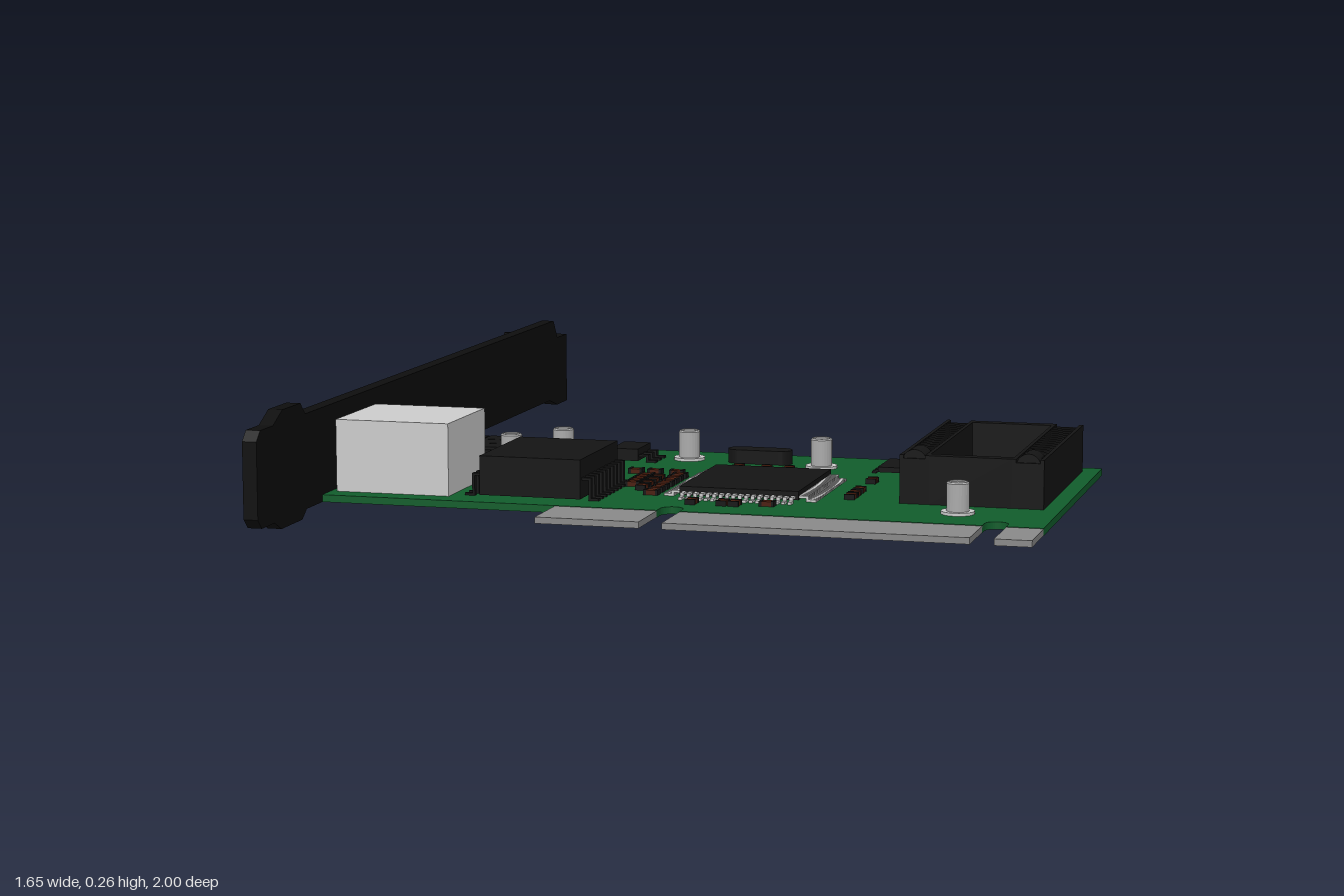
import * as THREE from 'three';

const mat = (color, extra = {}) => new THREE.MeshStandardMaterial({ color, ...extra });
const TOP = 0.055; // upper face of the circuit board

export function createModel() {
  const root = new THREE.Group();
  const green = mat(0x115c2b), black = mat(0x141414), dark = mat(0x0d0d0d);
  const grey = mat(0xcccccc), edgeGrey = mat(0x888888), blue = mat(0x174a8c), brown = mat(0x4a1c0c);

  const add = (name, geo, material, parent = root) => {
    const m = new THREE.Mesh(geo, material);
    m.name = name;
    parent.add(m);
    return m;
  };
  const group = (name) => {
    const g = new THREE.Group();
    g.name = name;
    root.add(g);
    return g;
  };
  // box from its min and max on each axis
  const box = (name, x0, x1, y0, y1, z0, z1, material, parent) => {
    const g = new THREE.BoxGeometry(x1 - x0, y1 - y0, z1 - z0);
    g.translate((x0 + x1) / 2, (y0 + y1) / 2, (z0 + z1) / 2);
    return add(name, g, material, parent);
  };
  const poly = (pts) => new THREE.Shape(pts.map(([a, b]) => new THREE.Vector2(a, b)));
  const extrude = (shape, depth) => new THREE.ExtrudeGeometry(shape, { depth, bevelEnabled: false, curveSegments: 10 });

  // circuit board, with rounded key slots on its front edge (drawn in x, z)
  const outline = new THREE.Shape();
  outline.moveTo(-0.67, -0.085);
  outline.lineTo(0.825, -0.085);
  outline.lineTo(0.825, 0.66);
  for (const x of [0.7275, 0.0675]) {
    outline.lineTo(x + 0.0235, 0.66);
    outline.lineTo(x + 0.0235, 0.635);
    outline.absarc(x, 0.635, 0.0235, 0, Math.PI, true);
    outline.lineTo(x - 0.0235, 0.66);
  }
  outline.lineTo(-0.67, 0.66);
  const boardGeo = extrude(outline, 0.015);
  boardGeo.rotateX(Math.PI / 2).translate(0, TOP, 0);
  add('circuitBoard', boardGeo, green);

  // edge connector
  const edge = group('edgeConnector');
  for (const [a, b] of [[-0.17, 0.044], [0.091, 0.704], [0.751, 0.825]])
    box('edgeContacts', a, b, 0.041, 0.054, 0.66, 0.79, edgeGrey, edge);

  // mounting bracket plate (drawn in -z, y)
  const bracket = group('bracket');
  const plate = poly([
    [-1, 0.06], [-0.98, 0.04], [-0.915, 0.04], [-0.88, 0.022], [-0.77, 0.022], [-0.745, 0.04],
    [0.86, 0.04], [0.92, 0.022], [1, 0.022], [1, 0.19], [0.925, 0.19], [0.895, 0.235],
    [-0.745, 0.235], [-0.77, 0.26], [-0.865, 0.26], [-0.915, 0.235], [-0.98, 0.235], [-1, 0.215]]);
  plate.holes.push(new THREE.Path([
    [-0.54, 0.075], [-0.405, 0.075], [-0.405, 0.185], [-0.54, 0.185]].map(([a, b]) => new THREE.Vector2(a, b))));
  const plateGeo = extrude(plate, 0.03);
  plateGeo.rotateY(Math.PI / 2).translate(-0.7, 0, 0);
  add('bracketPlate', plateGeo, dark);
  bracket.add(root.children.at(-1));

  // bent screw tab with its slots
  const tab = poly([
    [-0.7, 0.19], [-0.83, 0.19], [-0.83, 0.147], [-0.755, 0.147], [-0.748, 0.137], [-0.748, 0.12],
    [-0.755, 0.11], [-0.83, 0.11], [-0.83, 0.025], [-0.767, 0.025], [-0.767, 0.068], [-0.758, 0.08],
    [-0.742, 0.08], [-0.732, 0.068], [-0.732, 0.025], [-0.7, 0.025]]);
  add('screwTab', extrude(tab, 0.014).translate(0, 0, -1), dark, bracket);

  // network socket: housing, and a port showing through the bracket
  const port = group('networkSocket');
  box('socketHousing', -0.657, -0.413, TOP, 0.205, 0.38, 0.612, grey, port);
  const frame = poly([[-0.55, 0.065], [-0.395, 0.065], [-0.395, 0.195], [-0.55, 0.195]]);
  frame.holes.push(new THREE.Path([
    [-0.525, 0.085], [-0.42, 0.085], [-0.42, 0.155], [-0.445, 0.155], [-0.445, 0.175],
    [-0.5, 0.175], [-0.5, 0.155], [-0.525, 0.155]].map(([a, b]) => new THREE.Vector2(a, b))));
  const frameGeo = extrude(frame, 0.05);
  frameGeo.rotateY(Math.PI / 2).translate(-0.707, 0, 0);
  add('portFrame', frameGeo, dark, port);
  box('portBack', -0.664, -0.655, 0.07, 0.19, 0.4, 0.545, black, port);

  // indicator lamps beside the port
  for (const y of [0.1, 0.15]) {
    const lamp = add('indicatorLamp', new THREE.SphereGeometry(0.017, 16, 12), grey);
    lamp.position.set(-0.702, y, 0.35);
  }

  // chip body with rows of bent pins: sides are [axis, sign, count, span]
  function chip(name, x0, x1, z0, z1, top, reach, pinMat, sides, pinWidth) {
    const g = group(name);
    box(name + 'Body', x0, x1, TOP + 0.004, top, z0, z1, black, g);
    const cx = (x0 + x1) / 2, cz = (z0 + z1) / 2, knee = TOP + (top - TOP) * 0.55, w = pinWidth / 2;
    for (const [axis, sign, count] of sides) {
      const half = (axis === 'x' ? x1 - x0 : z1 - z0) / 2;
      const span = (axis === 'x' ? z1 - z0 : x1 - x0);
      for (let i = 0; i < count; i++) {
        const t = ((i + 0.5) / count - 0.5) * span * 0.97;
        const pin = new THREE.Group();
        pin.name = 'pin';
        box('pinShoulder', half, half + reach * 0.5, knee - 0.005, knee, -w, w, pinMat, pin);
        box('pinFoot', half + reach * 0.4, half + reach, TOP, TOP + 0.005, -w, w, pinMat, pin);
        box('pinLeg', half + reach * 0.4, half + reach * 0.55, TOP, knee, -w, w, pinMat, pin);
        pin.rotation.y = axis === 'x' ? (sign > 0 ? 0 : Math.PI) : (sign > 0 ? -Math.PI / 2 : Math.PI / 2);
        pin.position.set(axis === 'x' ? cx : cx + t, 0, axis === 'x' ? cz + t : cz);
        g.add(pin);
      }
    }
    return g;
  }
  chip('controllerChip', 0.045, 0.295, 0.205, 0.495, 0.077, 0.035, grey,
    [['x', 1, 22], ['x', -1, 22], ['z', 1, 18], ['z', -1, 18]], 0.008);
  chip('transformer', -0.35, -0.135, 0.335, 0.6, 0.14, 0.036, black, [['x', 1, 10], ['x', -1, 10]], 0.011);
  chip('memoryChip', 0.375, 0.432, -0.01, 0.11, 0.07, 0.014, black, [['x', 1, 4], ['x', -1, 4]], 0.016);
  chip('regulator', -0.22, -0.16, 0.0, 0.1, 0.085, 0.038, black, [['x', 1, 3]], 0.014);
  chip('transistor', -0.348, -0.318, 0.14, 0.2, 0.075, 0.03, black, [['x', 1, 3]], 0.011);

  // low component block made of a 3 by 3 grid
  const block = group('componentBlock');
  box('blockBase', -0.63, -0.385, TOP, 0.072, -0.05, 0.115, black, block);
  for (let i = 0; i < 3; i++)
    for (let j = 0; j < 3; j++) {
      const x = -0.627 + i * 0.081, z = -0.047 + j * 0.054;
      box('blockCell', x, x + 0.077, 0.07, 0.078, z, z + 0.05, black, block);
    }

  // oval crystal
  const oval = new THREE.Shape();
  oval.absarc(0.142, 0.027, 0.025, -Math.PI / 2, Math.PI / 2);
  oval.absarc(0.05, 0.027, 0.025, Math.PI / 2, Math.PI * 1.5);
  const ovalGeo = extrude(oval, 0.03);
  ovalGeo.rotateX(Math.PI / 2).translate(0, 0.085, 0);
  add('crystal', ovalGeo, black);

  // memory socket: open frame, side rails with contact ribs, corner bumps
  const socket = group('memorySocket');
  for (const [a, b] of [[0.495, 0.555], [0.725, 0.79]]) {
    box('socketRail', a, b, TOP, 0.148, -0.04, 0.455, black, socket);
    for (let i = 0; i < 16; i++) {
      const z = -0.008 + i * 0.0275;
      box('contactRib', a + 0.008, b - 0.008, 0.145, 0.154, z, z + 0.016, black, socket);
    }
    box('railEdge', a, a + 0.008, 0.145, 0.155, -0.04, 0.455, black, socket);
    box('railEdge', b - 0.008, b, 0.145, 0.155, -0.04, 0.455, black, socket);
    const bump = new THREE.CylinderGeometry(0.025, 0.025, 0.06, 20);
    bump.rotateX(Math.PI / 2);
    add('socketBump', bump, black, socket).position.set((a + b) / 2, 0.141, 0.42);
  }
  box('socketEnd', 0.555, 0.725, TOP, 0.155, -0.04, -0.014, black, socket);
  box('socketEnd', 0.555, 0.725, TOP, 0.155, 0.43, 0.455, black, socket);

  // can capacitors standing on pale rings
  for (const [x, z] of [[-0.34, 0.065], [-0.425, 0.17], [-0.065, 0.022], [0.24, 0.06], [0.632, 0.54]]) {
    const can = group('canCapacitor');
    can.position.set(x, TOP, z);
    add('canBase', new THREE.CylinderGeometry(0.034, 0.034, 0.006, 24), grey, can).position.y = 0.003;
    const profile = [[0, 0], [0.023, 0], [0.023, 0.062], [0.02, 0.065], [0.018, 0.065], [0.018, 0.062], [0, 0.062]];
    add('can', new THREE.LatheGeometry(profile.map((p) => new THREE.Vector2(...p)), 24),
      mat(0xaaaaaa, { flatShading: true }), can);
  }

  // round blue capacitor set on edge through the board
  const disc = [[0, -0.02], [0.042, -0.018], [0.051, -0.01], [0.055, 0], [0.051, 0.01], [0.042, 0.018], [0, 0.02]];
  const discGeo = new THREE.LatheGeometry(disc.map((p) => new THREE.Vector2(...p)), 32);
  discGeo.rotateZ(Math.PI / 2);
  add('discCapacitor', discGeo, blue).position.set(-0.528, 0.055, 0.235);

  // small surface parts, brown with dark ends
  const small = group('surfaceParts');
  const part = (x, z, alongX) => {
    const a = alongX ? 0.014 : 0.01, b = alongX ? 0.01 : 0.014;
    box('smallPart', x - a, x + a, TOP, 0.065, z - b, z + b, brown, small);
    for (const s of [-1, 1]) {
      const px = x + (alongX ? s * 0.0125 : 0), pz = z + (alongX ? 0 : s * 0.0125);
      box('smallPartEnd', px - (alongX ? 0.003 : 0.011), px + (alongX ? 0.003 : 0.011), TOP, 0.066,
        pz - (alongX ? 0.011 : 0.003), pz + (alongX ? 0.011 : 0.003), black, small);
    }
  };
  for (const x of [0.072, 0.133, 0.183]) part(x, 0.125, false);
  for (const x of [0.09, 0.155, 0.18]) part(x, 0.565, false);
  for (const z of [0.225, 0.345, 0.39, 0.425]) part(0.388, z, false);
  for (const x of [-0.482, -0.455]) part(x, 0.315, false);
  part(0.245, 0.552, true);
  part(-0.23, 0.245, false);
  for (const x of [-0.125, -0.083, -0.035]) part(x, 0.228, true);
  for (let i = 0; i < 5; i++) part(-0.085, 0.285 + i * 0.026, true);
  for (let i = 0; i < 4; i++) part(-0.055, 0.305 + i * 0.04, false);
  for (let i = 0; i < 7; i++) part(-0.018, 0.265 + i * 0.036, true);

  return root;
}
